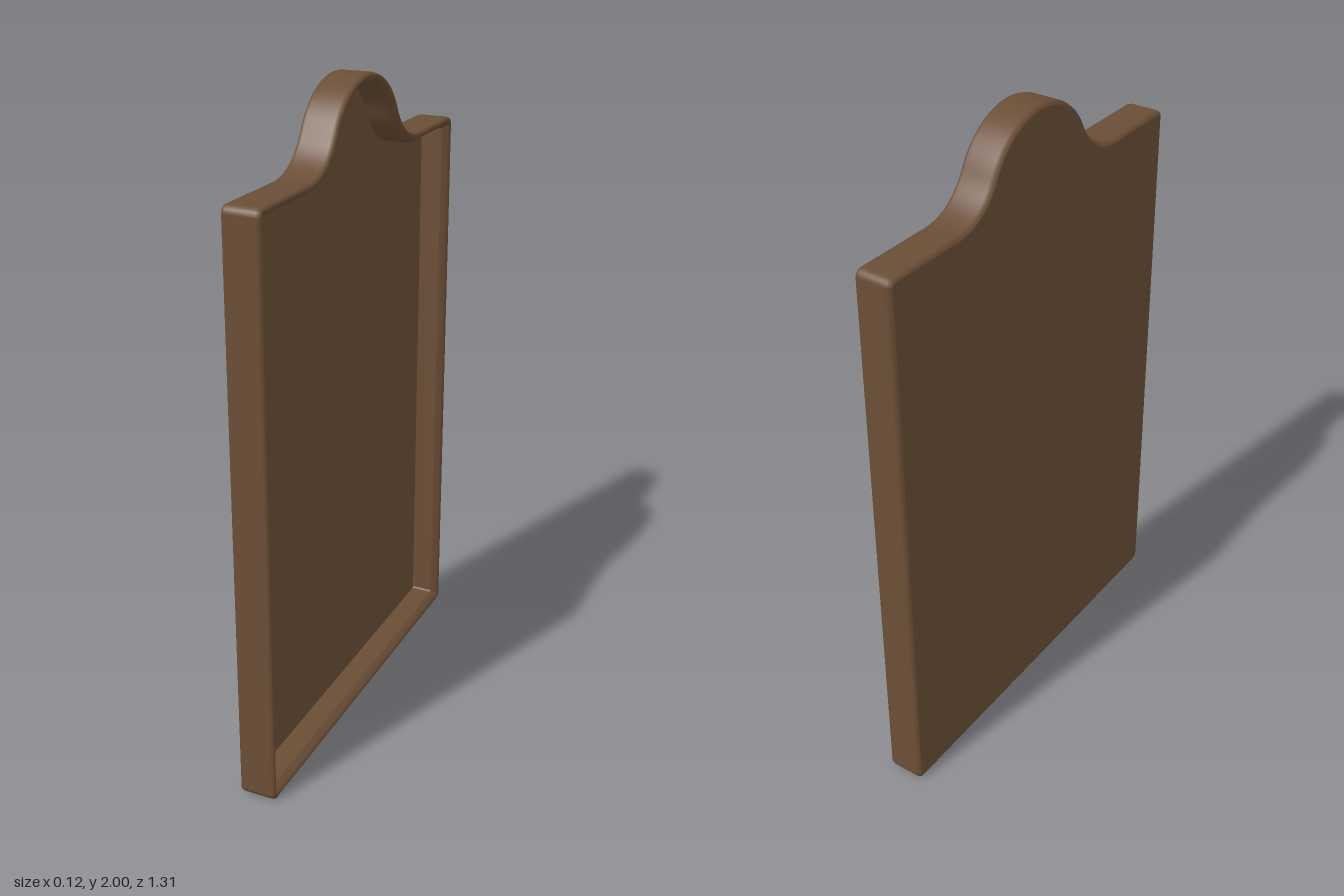
import * as THREE from 'three';

const wood = new THREE.MeshStandardMaterial({ color: 0x6b4e36 });
wood.name = 'brown wood';

const HALF = 0.654, SHOULDER = 1.768;        // half width, shoulder height
const CROWN_R = 0.24, COVE_R = 0.178, COVE_U = 0.375; // crest arc and cove arc
const CROWN_Y = 2 - CROWN_R, COVE_Y = SHOULDER + COVE_R;
const TILT = Math.atan2(COVE_Y - CROWN_Y, COVE_U); // angle where the two arcs meet
const FACE = 0.0575, FLOOR = -0.035;         // half thickness, recess floor depth

// Outline of the board, moved inward by d; always the same number of points
function outline(d) {
  const pts = [];
  const arc = (cx, cy, r, a0, a1, n) => {
    for (let i = 0; i <= n; i++) {
      const a = a0 + (a1 - a0) * i / n;
      pts.push(new THREE.Vector2(cx + r * Math.cos(a), cy + r * Math.sin(a)));
    }
  };
  const r = Math.max(0.024 - d, 0.008), side = HALF - d - r;
  // right half, from the bottom corner up to the crest
  arc(side, d + r, r, -Math.PI / 2, 0, 5);
  arc(side, SHOULDER - d - r, r, 0, Math.PI / 2, 5);
  arc(COVE_U, COVE_Y, COVE_R + d, Math.PI * 1.5, Math.PI + TILT, 12);
  pts.pop();
  arc(0, CROWN_Y, CROWN_R - d, TILT, Math.PI / 2, 14);
  // left half mirrored
  const left = pts.slice(0, -1).reverse().map(p => new THREE.Vector2(-p.x, p.y));
  return pts.concat(left);
}

// Skin through outlines given as [inset, depth]
function skin(sections) {
  const pos = [], idx = [];
  const n = outline(0).length;
  sections.forEach(([d, w], k) => {
    outline(d).forEach((p, i) => {
      pos.push(p.x, p.y, w);
      if (k + 1 < sections.length) {
        const j = (i + 1) % n, a = k * n + i, b = k * n + j;
        idx.push(a, b, b + n, a, b + n, a + n);
      }
    });
  });
  const g = new THREE.BufferGeometry();
  g.setAttribute('position', new THREE.Float32BufferAttribute(pos, 3));
  g.setIndex(idx);
  g.computeVertexNormals();
  return g.rotateY(Math.PI / 2);
}

// Flat sheet filling an outline, facing +x or -x
function sheet(d, x, dir) {
  const g = new THREE.ShapeGeometry(new THREE.Shape(outline(d)));
  return g.rotateY(dir * Math.PI / 2).translate(x, 0, 0);
}

export function createModel() {
  const group = new THREE.Group();
  group.name = 'framedPanel';
  const add = (name, geometry) => {
    const mesh = new THREE.Mesh(geometry, wood);
    mesh.name = name;
    group.add(mesh);
  };
  // rounded outer edge and rim, sloping in to the recess
  add('frameRim', skin([
    [0.012, -FACE], [0.003, -0.053], [0, -0.043], [0, 0.043],
    [0.003, 0.053], [0.011, FACE], [0.021, 0.05], [0.031, 0.034],
  ]));
  // straight wall of the recess
  add('recessWall', skin([[0.031, 0.034], [0.031, FLOOR]]));
  add('recessFloor', sheet(0.031, FLOOR, 1));
  add('backPanel', sheet(0.012, -FACE, -1));
  return group;
}
